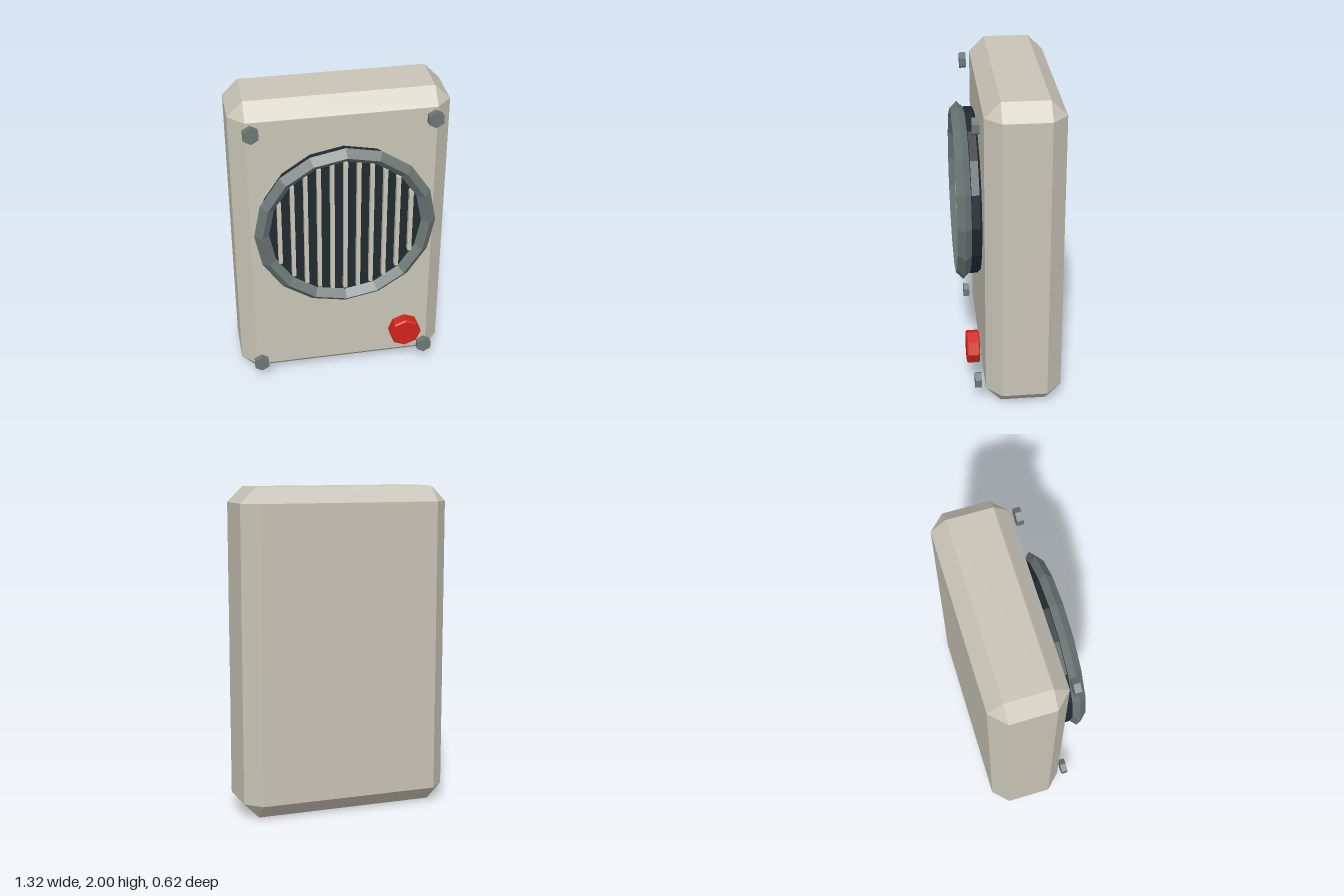
import * as THREE from 'three';
import { ConvexGeometry } from 'three/addons/geometries/ConvexGeometry.js';

const mat = (color) => new THREE.MeshStandardMaterial({ color, flatShading: true });

export function createModel() {
  const model = new THREE.Group();
  const beige = mat(0xc8c4b6), steel = mat(0x6b7775), dark = mat(0x1f2a30), red = mat(0xd0241a);

  const add = (name, geometry, material, x, y, z) => {
    const mesh = new THREE.Mesh(geometry, material);
    mesh.name = name;
    mesh.position.set(x, y, z);
    model.add(mesh);
    return mesh;
  };

  // Box with all edges chamfered, from the corners of its six inset faces
  const chamferBox = (hx, hy, hz, c) => {
    const pts = [];
    for (const sx of [-1, 1]) for (const sy of [-1, 1]) for (const sz of [-1, 1]) {
      pts.push(
        new THREE.Vector3(sx * hx, sy * (hy - c), sz * (hz - c)),
        new THREE.Vector3(sx * (hx - c), sy * hy, sz * (hz - c)),
        new THREE.Vector3(sx * (hx - c), sy * (hy - c), sz * hz));
    }
    return new ConvexGeometry(pts);
  };

  // Disc facing +z with bevelled edges
  const bevelDisc = (r, depth, b, sides) => {
    const h = depth / 2;
    const profile = [[0, -h], [r - b, -h], [r, b - h], [r, h - b], [r - b, h], [0, h]]
      .map(([x, y]) => new THREE.Vector2(x, y));
    return new THREE.LatheGeometry(profile, sides).rotateX(Math.PI / 2);
  };

  // Casing
  add('casing', chamferBox(0.66, 1, 0.234, 0.094), beige, 0, 1, -0.077);

  // Speaker: backing disc, diamond-section rim and vertical grille bars
  const cy = 1.195;
  add('speakerBacking', bevelDisc(0.52, 0.07, 0.012, 16), dark, 0, cy, 0.2);
  add('speakerRim', new THREE.TorusGeometry(0.51, 0.045, 4, 16), steel, 0, cy, 0.265);
  for (let i = -5; i <= 5; i++) {
    const x = i * 0.08;
    const length = 2 * Math.sqrt(0.455 ** 2 - x * x);
    add('grilleBar', new THREE.BoxGeometry(0.024, length, 0.04), beige, x, cy, 0.25);
  }

  // Red button
  add('button', bevelDisc(0.103, 0.08, 0.008, 8), red, 0.402, 0.302, 0.225);

  // Hexagonal corner bolts
  for (const x of [-0.542, 0.542]) for (const y of [0.142, 1.854]) {
    add('cornerBolt', new THREE.CylinderGeometry(0.052, 0.052, 0.04, 6).rotateX(Math.PI / 2), steel, x, y, 0.203);
  }

  return model;
}
